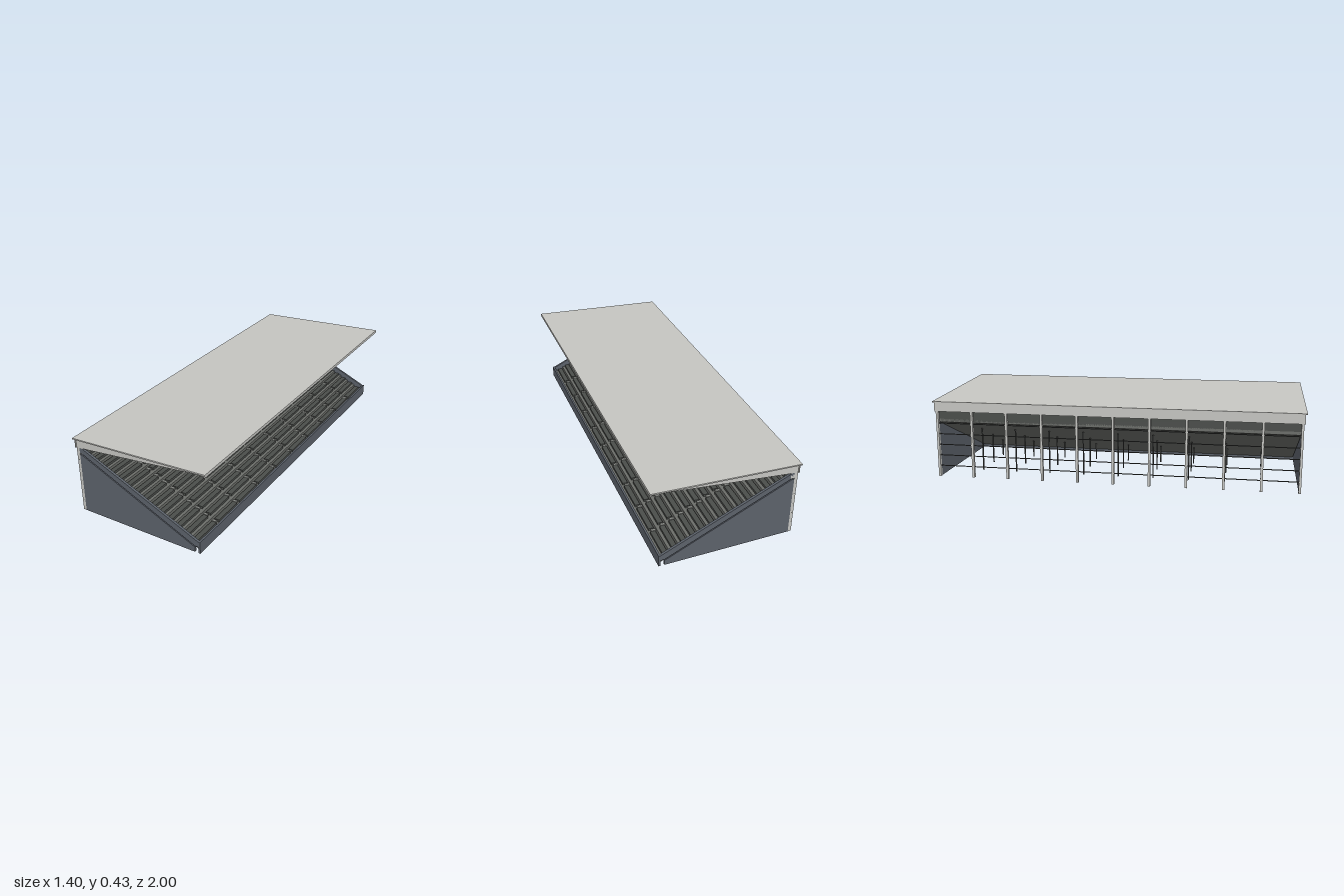
import * as THREE from 'three';

const material = (name, color) => {
  const m = new THREE.MeshStandardMaterial({ color });
  m.name = name;
  return m;
};

export function createModel() {
  const roofGrey = material('pale roof grey', 0xc6c6c2);
  const wallBlue = material('slate wall', 0x5c626b);
  const concrete = material('step concrete', 0x6c6e6a);
  const seatDark = material('dark seat', 0x4b4e4b);
  const aisleGrey = material('aisle grey', 0x858783);
  const steel = material('dark steel', 0x4a4c4a);

  const model = new THREE.Group();
  model.name = 'grandstand';
  const stand = new THREE.Group();
  stand.name = 'stand';
  stand.rotation.y = THREE.MathUtils.degToRad(66.8);
  model.add(stand);

  // Local frame: x runs along the stand, z points to the pitch
  const box = (name, mat, w, h, d, x, y, z) => {
    const m = new THREE.Mesh(new THREE.BoxGeometry(w, h, d), mat);
    m.name = name;
    m.position.set(x, y, z);
    stand.add(m);
    return m;
  };
  // Extrude a [z, y] side profile across a width centred on x
  const profile = (name, mat, points, width, x = 0) => {
    const shape = new THREE.Shape(points.map(([z, y]) => new THREE.Vector2(z, y)));
    const g = new THREE.ExtrudeGeometry(shape, { depth: width, bevelEnabled: false });
    g.translate(0, 0, -width / 2).rotateY(-Math.PI / 2);
    const m = new THREE.Mesh(g, mat);
    m.name = name;
    m.position.x = x;
    stand.add(m);
    return m;
  };

  const half = 0.92, bays = 10, bay = (half * 2 - 0.012) / bays;
  const frameX = i => -half + 0.006 + i * bay;
  const rows = 14, back = -0.336, front = 0.305;
  const run = (front - back) / rows, rise = 0.0205;
  const treadY = i => 0.035 + i * rise;

  // Stepped terrace with a sloping underside
  const steps = [[back, 0.285], [front, 0.012]];
  for (let i = 0; i < rows; i++) {
    const z = front - i * run;
    steps.push([z, treadY(i)], [z - run, treadY(i)]);
  }
  profile('terrace', concrete, steps, half * 2 - 0.024);

  // Bench blocks and aisle half steps
  const gap = 0.022;
  for (let i = 0; i < rows; i++) {
    const z = front - (i + 0.5) * run, y = treadY(i);
    for (let b = 0; b < bays; b++) {
      box('bench', seatDark, bay - gap, 0.012, run * 0.55, frameX(b) + bay / 2, y + 0.006, z - run * 0.1);
      if (b > 0) {
        box('aisleStep', aisleGrey, gap * 0.6, rise / 2, run * 0.5, frameX(b), y + rise / 4, z - run * 0.25);
      }
    }
  }

  // Front wall and rear parapet
  box('frontWall', wallBlue, half * 2, 0.06, 0.01, 0, 0.03, 0.313);
  box('rearParapet', seatDark, half * 2 - 0.024, 0.06, 0.008, 0, 0.315, back + 0.004);

  // End walls with a narrow gap below the sloping stringers
  for (const side of [-1, 1]) {
    profile('endWall', wallBlue,
      [[back, 0], [0.29, 0], [0.29, 0.026], [-0.325, 0.309], [back, 0.309]], 0.01, side * (half - 0.005));
    profile('stringer', wallBlue,
      [[back, 0.316], [-0.325, 0.316], [0.29, 0.032], [0.308, 0.032], [0.308, 0.06], [-0.325, 0.345], [back, 0.345]],
      0.012, side * (half - 0.006));
  }

  // Rear columns with cantilevered roof beams
  for (let i = 0; i <= bays; i++) {
    profile('columnAndBeam', roofGrey, [
      [-0.352, 0], [back, 0], [back, 0.315], [-0.318, 0.315], [-0.318, 0.345],
      [0.355, 0.415], [0.355, 0.424], [-0.352, 0.39],
    ], 0.012, frameX(i));
  }

  // Roof sheet with front and rear fascias
  profile('roof', roofGrey,
    [[-0.362, 0.389], [0.362, 0.423], [0.362, 0.43], [-0.362, 0.395]], 1.866);
  box('frontFascia', roofGrey, 1.866, 0.014, 0.006, 0, 0.422, 0.359);
  box('rearFascia', roofGrey, 1.85, 0.048, 0.005, 0, 0.367, -0.354);

  // Thin rails between the rear columns
  for (let i = 1; i <= 5; i++) {
    box('rearRail', steel, half * 2, 0.004, 0.004, 0, i * 0.056, -0.344);
  }

  // Slender props under the terrace
  for (let i = 1; i < bays; i++) {
    for (const z of [-0.2, -0.04, 0.12]) {
      const h = THREE.MathUtils.mapLinear(z, back, front, 0.285, 0.012) + 0.004;
      box('prop', steel, 0.006, h, 0.006, frameX(i), h / 2, z);
    }
  }

  return model;
}
